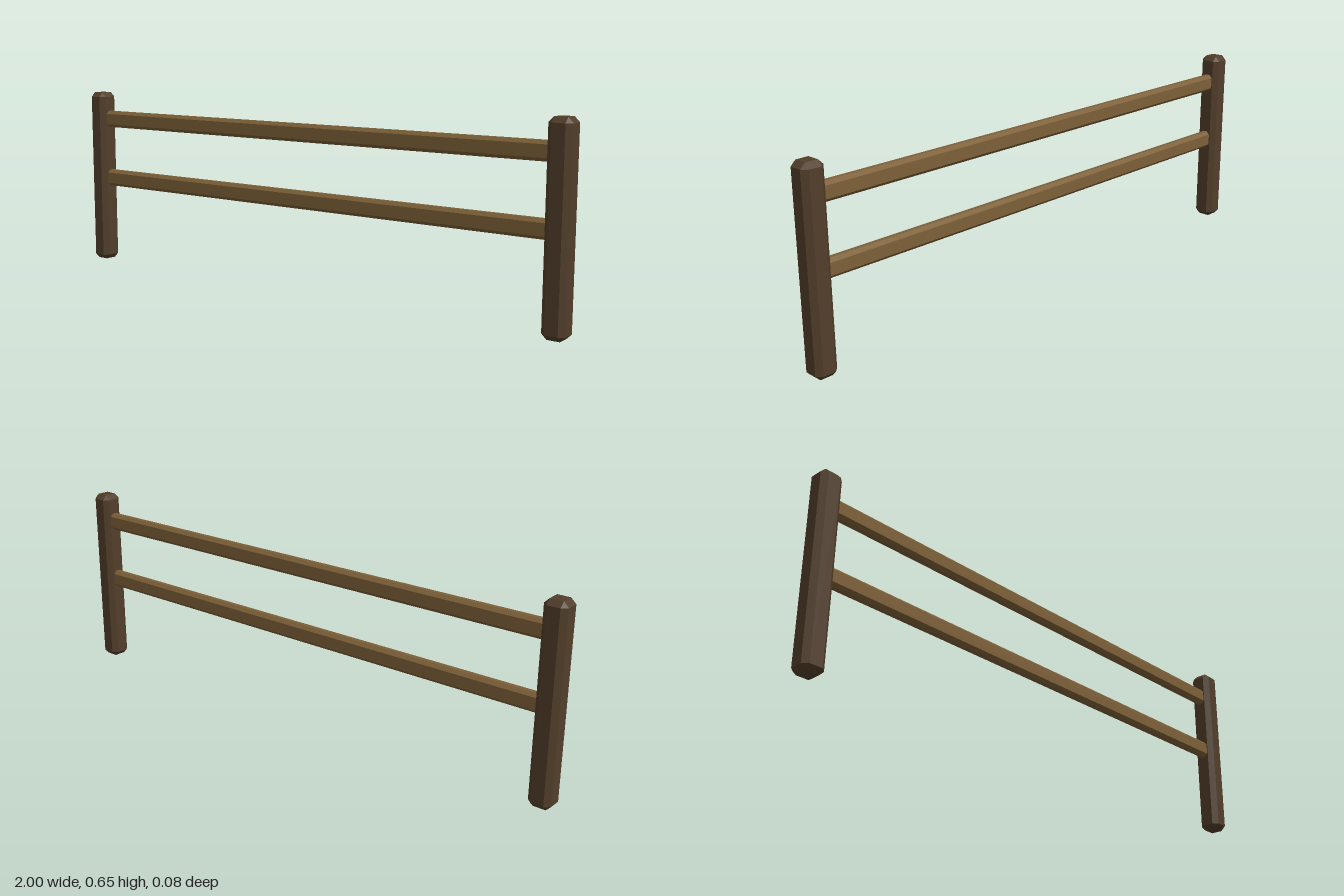
import * as THREE from 'three';
import { ConvexGeometry } from 'three/addons/geometries/ConvexGeometry.js';

// Box with every edge cut at 45 degrees: hull of its six inset faces
function chamferBox(w, h, d, c) {
  const [x, y, z] = [w / 2, h / 2, d / 2];
  const points = [];
  for (const i of [-1, 1]) for (const j of [-1, 1]) for (const k of [-1, 1]) {
    points.push(
      new THREE.Vector3(i * x, j * (y - c), k * (z - c)),
      new THREE.Vector3(i * (x - c), j * y, k * (z - c)),
      new THREE.Vector3(i * (x - c), j * (y - c), k * z),
    );
  }
  return new ConvexGeometry(points);
}

export function createModel() {
  const fence = new THREE.Group();
  fence.name = 'fence';
  const postWood = new THREE.MeshStandardMaterial({ color: 0x523e2a, flatShading: true });
  const railWood = new THREE.MeshStandardMaterial({ color: 0x7d6038, flatShading: true });

  const add = (name, geometry, material, x, y) => {
    const mesh = new THREE.Mesh(geometry, material);
    mesh.name = name;
    mesh.position.set(x, y, 0);
    fence.add(mesh);
  };

  // Upright posts at both ends
  const postWidth = 0.077, postHeight = 0.655;
  const post = chamferBox(postWidth, postHeight, postWidth, 0.017);
  add('leftPost', post, postWood, 1 - postWidth / 2, postHeight / 2);
  add('rightPost', post, postWood, -1 + postWidth / 2, postHeight / 2);

  // Horizontal rails, let into the posts
  const rail = chamferBox(1.9, 0.062, 0.037, 0.011);
  add('upperRail', rail, railWood, 0, 0.553);
  add('lowerRail', rail, railWood, 0, 0.324);

  return fence;
}
